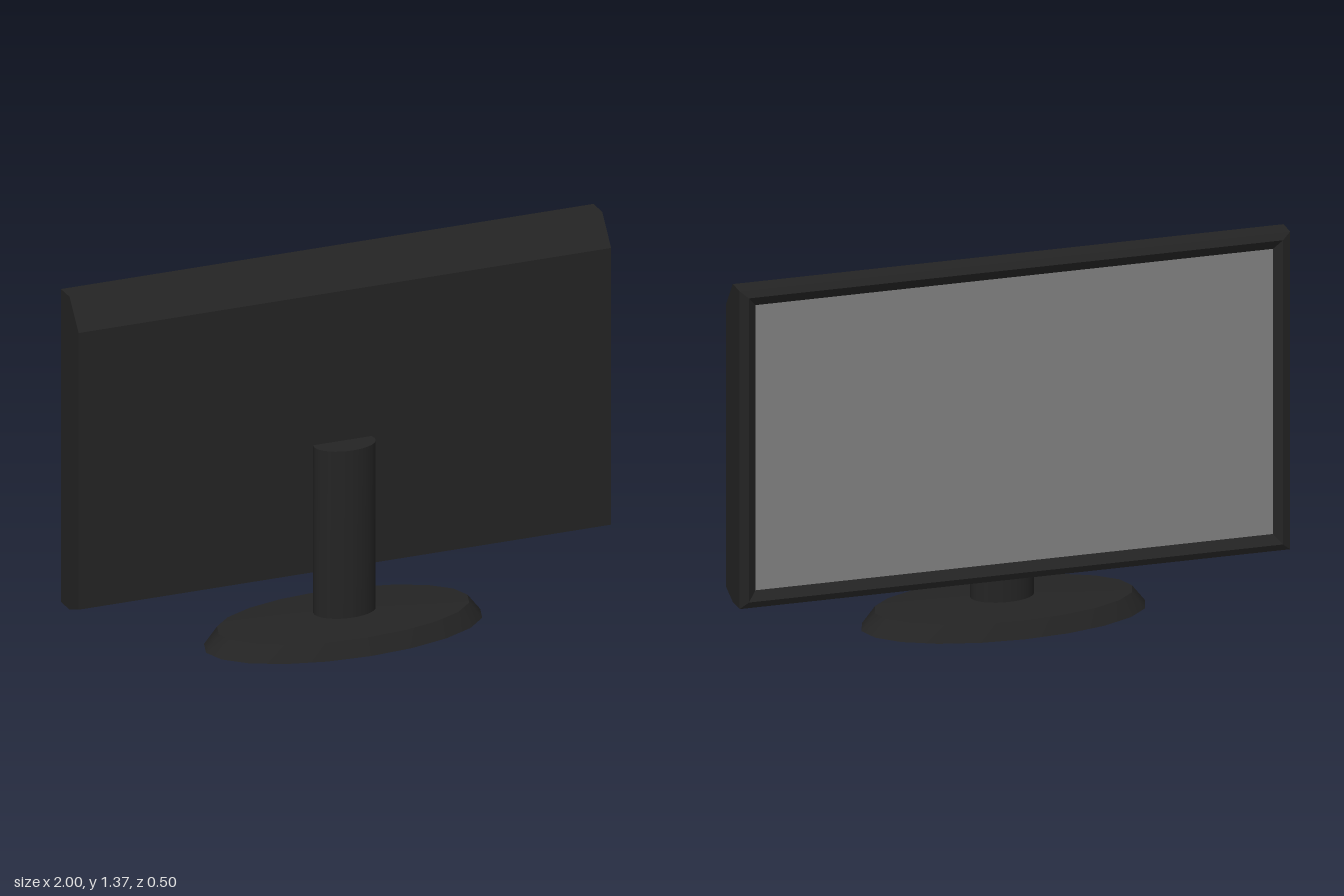
import * as THREE from 'three';

const black = new THREE.MeshStandardMaterial({ name: 'black plastic', color: 0x242424 });
const grey = new THREE.MeshStandardMaterial({ name: 'grey', color: 0x808080 });

// Flat-sided mesh from a list of four-cornered faces
function quadMesh(name, quads, material) {
  const points = quads.flatMap(([a, b, c, d]) => [a, b, c, a, c, d]);
  const geometry = new THREE.BufferGeometry();
  geometry.setAttribute('position', new THREE.Float32BufferAttribute(points.flat(), 3));
  geometry.computeVertexNormals();
  const mesh = new THREE.Mesh(geometry, material);
  mesh.name = name;
  return mesh;
}

// Elliptical tier between two heights, radii given as [x, z]
function tier(name, bottom, top, y0, y1, x, sides, material) {
  const geometry = new THREE.CylinderGeometry(1, 1, y1 - y0, sides);
  const p = geometry.attributes.position;
  for (let i = 0; i < p.count; i++) {
    const r = p.getY(i) > 0 ? top : bottom;
    p.setX(i, p.getX(i) * r[0]);
    p.setZ(i, p.getZ(i) * r[1]);
  }
  geometry.computeVertexNormals();
  const mesh = new THREE.Mesh(geometry, material);
  mesh.position.set(x, (y0 + y1) / 2, 0);
  mesh.name = name;
  return mesh;
}

function createDisplay() {
  // Rectangular sections from the rear cover to the screen edge: half width, low y, high y, z
  const rings = [
    [1, 0.23, 1.265, -0.02],
    [1, 0.2, 1.37, -0.1],
    [1, 0.2, 1.37, -0.178],
    [0.97, 0.225, 1.345, -0.19],
    [0.94, 0.26, 1.31, -0.17],
  ].map(([w, lo, hi, z]) => [[-w, lo, z], [w, lo, z], [w, hi, z], [-w, hi, z]]);

  const shell = [rings[0]];
  const underside = [];
  const bezel = [];
  for (let i = 0; i < rings.length - 1; i++) {
    const a = rings[i], b = rings[i + 1];
    for (let j = 0; j < 4; j++) {
      const k = (j + 1) % 4;
      const list = i > 1 ? bezel : j === 0 ? underside : shell;
      list.push([a[j], b[j], b[k], a[k]]);
    }
  }
  const display = new THREE.Group();
  display.name = 'display';
  display.add(
    quadMesh('housing', shell, black),
    quadMesh('housingUnderside', underside, grey),
    quadMesh('bezel', bezel, black),
    quadMesh('screen', [[...rings[4]].reverse()], grey),
  );
  return display;
}

function createStand() {
  const stand = new THREE.Group();
  stand.name = 'stand';
  stand.add(
    tier('baseRim', [0.515, 0.25], [0.467, 0.225], 0.002, 0.063, -0.015, 20, black),
    tier('baseTop', [0.467, 0.225], [0.113, 0.077], 0.063, 0.08, -0.015, 20, black),
    tier('neck', [0.113, 0.077], [0.113, 0.077], 0.01, 0.705, -0.01, 32, black),
  );
  // Grey foot of the neck showing through the base
  const foot = new THREE.Mesh(new THREE.CircleGeometry(1, 32), grey);
  foot.name = 'neckFoot';
  foot.rotation.x = Math.PI / 2;
  foot.scale.set(0.113, 0.077, 1);
  foot.position.x = -0.01;
  stand.add(foot);
  return stand;
}

export function createModel() {
  const model = new THREE.Group();
  model.name = 'monitor';
  model.add(createDisplay(), createStand());
  return model;
}
